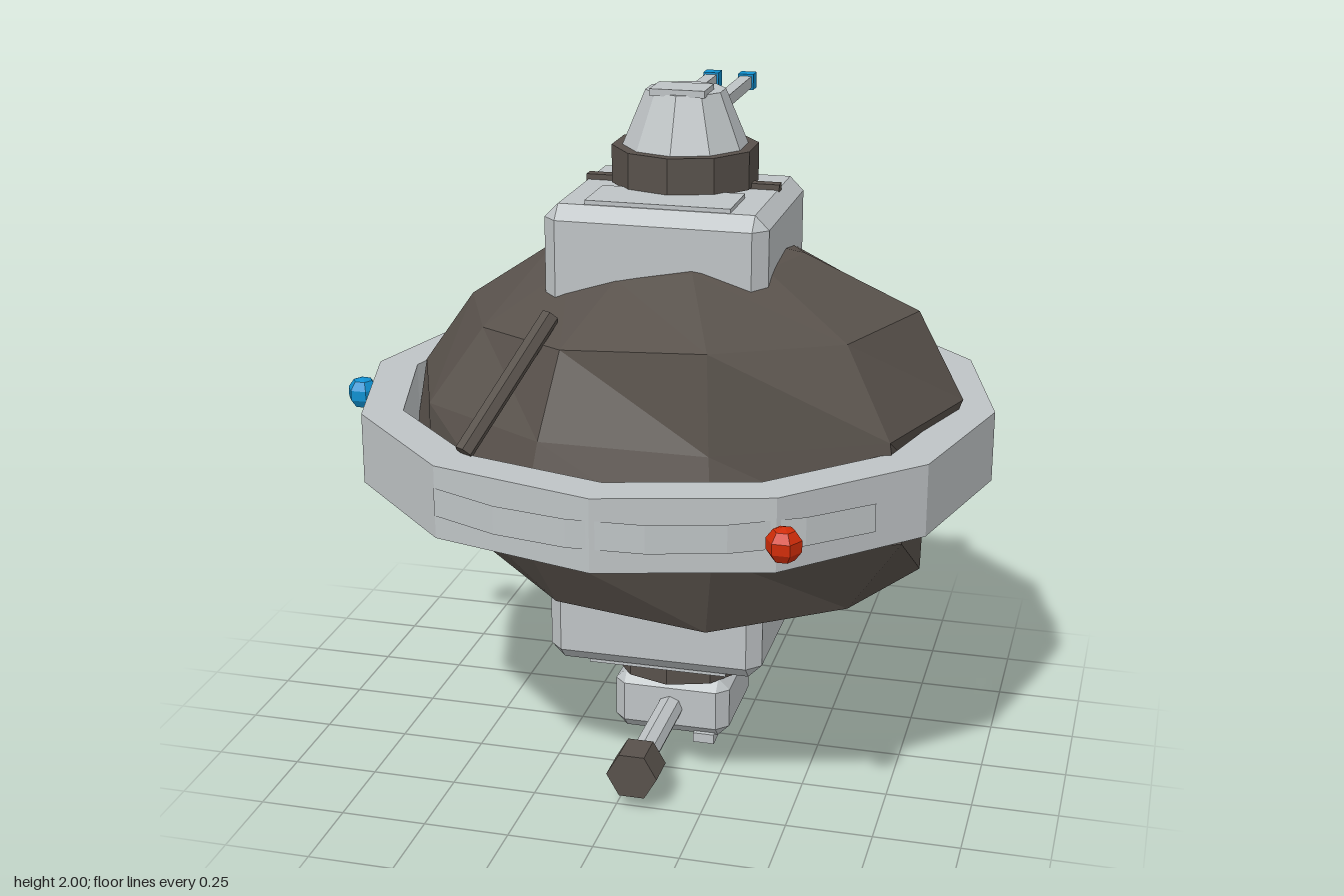
import * as THREE from 'three';
import { ConvexGeometry } from 'three/addons/geometries/ConvexGeometry.js';

const flat = (name, color) => {
  const m = new THREE.MeshStandardMaterial({ color, flatShading: true });
  m.name = name;
  return m;
};

// box with 45 degree chamfers of width c on every edge
function chamferBox(w, h, d, c) {
  const pts = [];
  for (const x of [-1, 1]) for (const y of [-1, 1]) for (const z of [-1, 1]) {
    for (let k = 0; k < 3; k++) {
      const inset = [c, c, c];
      inset[k] = 0;
      pts.push(new THREE.Vector3(x * (w / 2 - inset[0]), y * (h / 2 - inset[1]), z * (d / 2 - inset[2])));
    }
  }
  return new ConvexGeometry(pts);
}

export function createModel() {
  const lightGrey = flat('light grey metal', 0xbec3c5);
  const dark = flat('dark brown rock', 0x58514b);
  const blue = flat('blue lamp', 0x1090d0);
  const red = flat('red lamp', 0xd02c08);

  const model = new THREE.Group();
  model.name = 'rockStation';
  const CX = 0.053, TZ = -0.09; // main axis x, turret axis z

  const add = (name, geo, mat, x = 0, y = 0, z = 0) => {
    const mesh = new THREE.Mesh(geo, mat);
    mesh.name = name;
    mesh.position.set(x, y, z);
    model.add(mesh);
    return mesh;
  };
  // box given by its min and max along each axis
  const box = (name, mat, [x0, x1], [y0, y1], [z0, z1], chamfer = 0) => {
    const s = [x1 - x0, y1 - y0, z1 - z0];
    const geo = chamfer ? chamferBox(...s, chamfer) : new THREE.BoxGeometry(...s);
    return add(name, geo, mat, (x0 + x1) / 2, (y0 + y1) / 2, (z0 + z1) / 2);
  };
  // prism or rod between two points
  const rod = (name, mat, a, b, r, sides) => {
    const p = new THREE.Vector3(...a), q = new THREE.Vector3(...b);
    const mesh = add(name, new THREE.CylinderGeometry(r, r, p.distanceTo(q), sides), mat);
    mesh.position.copy(p).add(q).multiplyScalar(0.5);
    mesh.quaternion.setFromUnitVectors(new THREE.Vector3(0, 1, 0), q.sub(p).normalize());
    return mesh;
  };

  // Rock core: a 10 x 7 ellipsoid with uneven radii, top to bottom, from +x towards +z
  const radii = [
    Array(10).fill(0.87),
    [0.86, 0.85, 0.86, 0.80, 0.79, 0.84, 0.84, 0.87, 0.84, 0.83],
    [0.90, 0.88, 0.92, 0.83, 0.78, 0.80, 0.86, 0.965, 0.80, 0.82],
    [0.86, 0.88, 0.79, 0.79, 0.80, 0.80, 0.86, 0.948, 0.765, 0.785],
    [0.76, 0.937, 0.887, 0.887, 0.805, 0.845, 0.86, 0.948, 0.765, 0.785],
    [0.94, 0.92, 0.945, 0.88, 0.79, 0.78, 0.83, 0.90, 0.80, 0.84],
    [0.85, 0.84, 0.84, 0.80, 0.77, 0.76, 0.79, 0.84, 0.82, 0.83],
    Array(10).fill(0.87),
  ];
  const pos = [], idx = [];
  radii.forEach((row, i) => row.forEach((r, j) => {
    const a = j * Math.PI / 5, phi = i * Math.PI / 7, s = r * Math.sin(phi);
    pos.push(CX + s * Math.cos(a), 1.02 + r * Math.cos(phi) / 1.46, 0.83 * s * Math.sin(a));
    if (i === 7) return;
    const p = i * 10 + j, q = i * 10 + (j + 1) % 10;
    if (i > 0) idx.push(p, q, p + 10);
    if (i < 6) idx.push(q, q + 10, p + 10);
  }));
  const rock = new THREE.BufferGeometry();
  rock.setAttribute('position', new THREE.Float32BufferAttribute(pos, 3));
  rock.setIndex(idx);
  rock.computeVertexNormals();
  add('rockCore', rock, dark);

  // Twelve-sided ring around the core
  const profile = [[0.81, 0.915], [0.93, 0.915], [0.93, 1.122], [0.81, 1.122], [0.81, 0.915]];
  add('outerRing', new THREE.LatheGeometry(profile.map(p => new THREE.Vector2(...p)), 12), lightGrey, CX);

  // Three panels and lamps on the ring
  for (let i = 0; i < 3; i++) {
    const turn = i * Math.PI * 2 / 3, rad = Math.PI / 180;
    add('ringPanel', new THREE.CylinderGeometry(0.932, 0.932, 0.08, 6, 1, true,
      turn - 30 * rad, 78 * rad), lightGrey, CX, 1.02, 0);
    const a = turn + 30 * rad;
    add('ringLamp', new THREE.SphereGeometry(0.05, 6, 5), i === 0 ? red : blue,
      CX + 0.99 * Math.sin(a), 1.018, 0.99 * Math.cos(a));
  }

  // Leaning struts on the right side; the back one is shorter and thicker
  rod('frontStrut', dark, [-0.2, 1.44, 0.42], [-0.36, 1.13, 0.71], 0.027, 6);
  rod('backStrut', dark, [-0.25, 1.39, -0.5], [-0.355, 1.13, -0.715], 0.034, 6);

  // Upper and lower docking blocks with deck plates, cable bars and turret collars
  for (const [side, y0, y1, deck, collar, out] of [
    ['upper', 1.41, 1.712, 1.712, 1.772, 1], ['lower', 0.325, 0.63, 0.325, 0.262, -1]]) {
    box(side + 'Block', lightGrey, [-0.27, 0.37], [y0, y1], [-0.285, 0.28], 0.04);
    const d = deck + out * 0.004;
    box(side + 'DeckPlate', lightGrey, [-0.155, 0.26], [d - 0.008, d + 0.008], [0.05, 0.235]);
    box(side + 'CableBar', dark, [-0.235, 0.335], [d - 0.012, d + 0.012], [-0.095, -0.06]);
    add(side + 'Collar', new THREE.CylinderGeometry(0.212, 0.212, 0.11, 10), dark, CX, collar, TZ);
  }

  // Upper turret with hatch and twin barrels pointing back
  add('turretDome', new THREE.CylinderGeometry(0.115, 0.182, 0.16, 10), lightGrey, CX, 1.905, TZ);
  box('turretHatch', lightGrey, [-0.027, 0.133], [1.98, 2], [-0.1, 0.015]);
  for (const x of [0, 0.11]) {
    box('turretBarrel', lightGrey, [x - 0.018, x + 0.018], [1.89, 1.926], [-0.63, -0.15]);
    box('barrelTip', blue, [x - 0.024, x + 0.024], [1.884, 1.932], [-0.675, -0.627]);
  }

  // Lower gun: housing, belly plate, barrel, muzzle and counterweight
  box('gunHousing', lightGrey, [-0.125, 0.232], [0.02, 0.212], [-0.265, 0.085], 0.035);
  box('bellyPlate', lightGrey, [0.125, 0.19], [0, 0.03], [-0.11, 0.075]);
  rod('gunBarrel', lightGrey, [CX, 0.11, 0.06], [CX, 0.11, 0.45], 0.04, 8);
  const muzzle = rod('gunMuzzle', dark, [CX, 0.11, 0.425], [CX, 0.11, 0.53], 0.075, 6);
  muzzle.rotateY(Math.PI / 6);
  box('gunCounterweight', dark, [-0.06, 0.165], [0.055, 0.2], [-0.387, -0.25]);

  return model;
}
